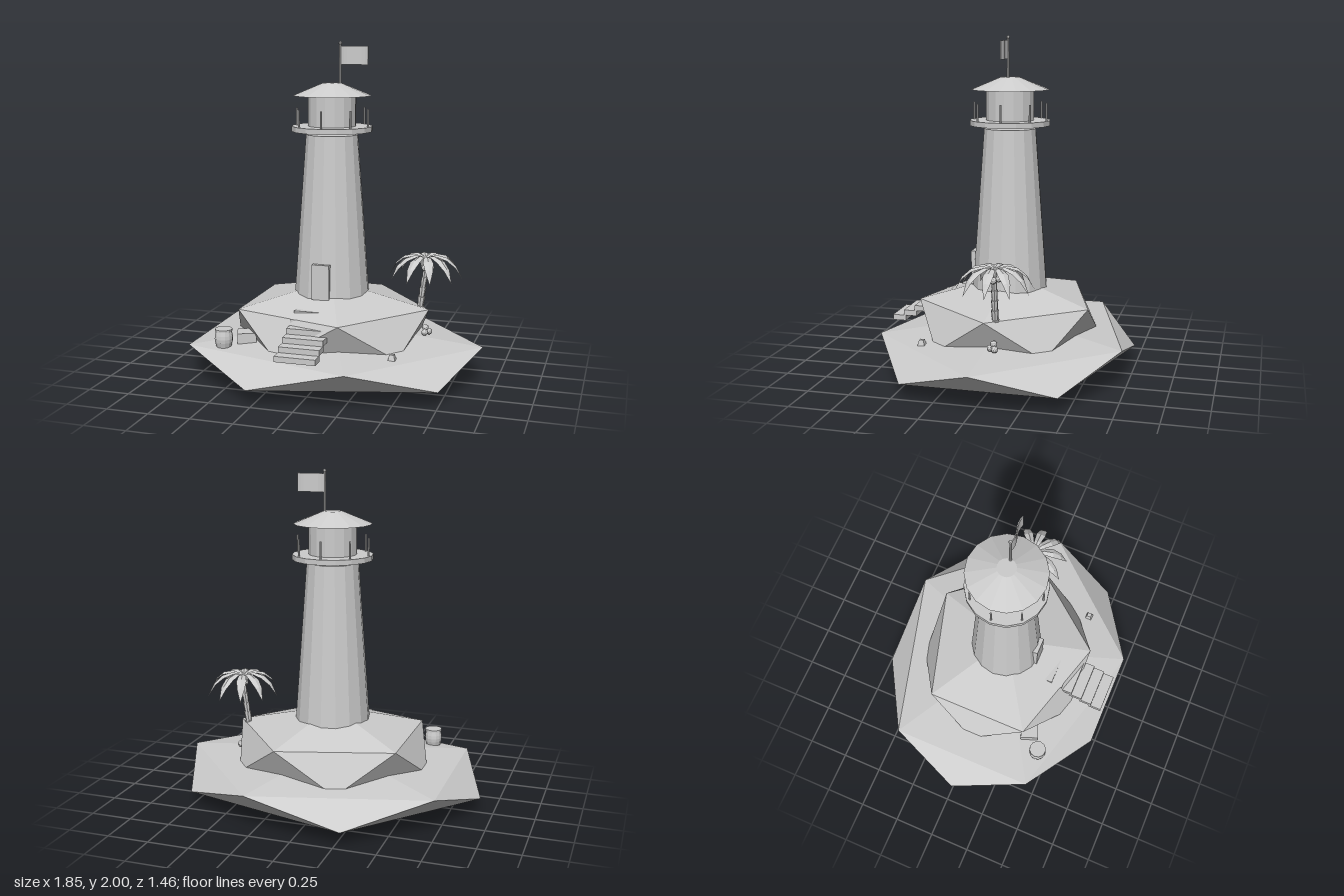
import * as THREE from 'three';
import { ConvexGeometry } from 'three/addons/geometries/ConvexGeometry.js';

const stone = new THREE.MeshStandardMaterial({ color: 0xcccccc, flatShading: true, side: THREE.DoubleSide });
stone.name = 'plain grey';

function add(parent, name, geometry, x = 0, y = 0, z = 0) {
  const mesh = new THREE.Mesh(geometry, stone);
  mesh.name = name;
  mesh.position.set(x, y, z);
  parent.add(mesh);
  return mesh;
}

// Tapered round part standing between two heights
function drum(parent, name, rTop, rBottom, y0, y1, x = 0, z = 0, sides = 16) {
  return add(parent, name, new THREE.CylinderGeometry(rTop, rBottom, y1 - y0, sides), x, (y0 + y1) / 2, z);
}

// Twenty-sided rock: two poles and two staggered rings of five corners
function rock(rx, rz, centreY, halfHeight) {
  const points = [new THREE.Vector3(0, centreY + halfHeight, 0), new THREE.Vector3(0, centreY - halfHeight, 0)];
  for (let i = 0; i < 10; i++) {
    const a = i * Math.PI / 5;
    const level = (i % 2 ? -1 : 1) * 0.447 * halfHeight;
    points.push(new THREE.Vector3(rx * Math.cos(a), centreY + level, rz * Math.sin(a)));
  }
  return new ConvexGeometry(points);
}

// Arched leaf with a raised midrib, growing along +x
function frondGeometry() {
  const rows = [[0, 0.735, 0.008], [0.07, 0.752, 0.022], [0.13, 0.738, 0.03], [0.18, 0.695, 0.022], [0.222, 0.615, 0]];
  const positions = [], index = [];
  rows.forEach(([r, y, w], i) => {
    positions.push(r, y - w * 0.4, -w, r, y, 0, r, y - w * 0.4, w);
    if (i === 0) return;
    for (let k = 0; k < 2; k++) {
      const a = (i - 1) * 3 + k, b = a + 3;
      index.push(a, a + 1, b, a + 1, b + 1, b);
    }
  });
  const g = new THREE.BufferGeometry();
  g.setAttribute('position', new THREE.Float32BufferAttribute(positions, 3));
  g.setIndex(index);
  g.computeVertexNormals();
  return g;
}

function createPalm() {
  const palm = new THREE.Group();
  palm.name = 'palmTree';
  // Trunk of stacked flared segments following a leaning curve
  const lean = new THREE.QuadraticBezierCurve3(
    new THREE.Vector3(0.53, 0.38, -0.05), new THREE.Vector3(0.55, 0.55, -0.05), new THREE.Vector3(0.575, 0.735, -0.055));
  const n = 6;
  for (let i = 0; i < n; i++) {
    const a = lean.getPoint(i / n), b = lean.getPoint((i + 1) / n);
    const r = 0.024 - 0.0015 * i;
    const mid = a.clone().add(b).multiplyScalar(0.5);
    const seg = add(palm, 'trunkSegment', new THREE.CylinderGeometry(r, r * 0.8, a.distanceTo(b), 7), mid.x, mid.y, mid.z);
    seg.quaternion.setFromUnitVectors(new THREE.Vector3(0, 1, 0), b.clone().sub(a).normalize());
  }
  const leaf = frondGeometry();
  for (let i = 0; i < 10; i++) {
    add(palm, 'frond', leaf, 0.565, 0, -0.055).rotation.y = i * Math.PI / 5;
  }
  // Coconuts under the crown and on the ground
  const nut = new THREE.IcosahedronGeometry(0.02, 1);
  for (const [x, y, z] of [[0.565, 0.675, -0.03], [0.597, 0.675, -0.055], [0.565, 0.68, -0.08],
    [0.57, 0.28, -0.03], [0.59, 0.28, -0.06], [0.57, 0.305, -0.05]]) {
    add(palm, 'coconut', nut, x, y, z);
  }
  return palm;
}

function createTower() {
  const tower = new THREE.Group();
  tower.name = 'lighthouse';
  drum(tower, 'towerBody', 0.155, 0.228, 0.46, 1.457);
  add(tower, 'door', new THREE.BoxGeometry(0.105, 0.21, 0.05), -0.003, 0.605, 0.206);
  drum(tower, 'lampBase', 0.065, 0.04, 1.462, 1.478, 0.045);
  drum(tower, 'gallery', 0.24, 0.24, 1.475, 1.506);
  drum(tower, 'lanternRoom', 0.143, 0.143, 1.505, 1.69);
  drum(tower, 'roof', 0.055, 0.232, 1.685, 1.758);
  for (let i = 0; i < 8; i++) {
    const a = i * Math.PI / 4;
    drum(tower, 'railPost', 0.006, 0.006, 1.5, 1.608, 0.22 * Math.cos(a), 0.22 * Math.sin(a), 6);
  }
  // Flagpole with ball and a rippled flag
  drum(tower, 'flagpole', 0.007, 0.008, 1.74, 1.985, 0.05, 0, 8);
  add(tower, 'flagpoleBall', new THREE.SphereGeometry(0.011, 8, 6), 0.05, 1.989, 0);
  const flag = new THREE.BoxGeometry(0.165, 0.108, 0.006, 8, 1, 1);
  const p = flag.attributes.position;
  for (let i = 0; i < p.count; i++) p.setZ(i, p.getZ(i) + 0.007 * Math.sin((p.getX(i) + 0.0825) * 38));
  add(tower, 'flag', flag, 0.135, 1.919, 0);
  return tower;
}

export function createModel() {
  const model = new THREE.Group();
  model.name = 'lighthouseIsland';
  add(model, 'lowerIsland', rock(0.925, 0.768, 0.158, 0.158));
  add(model, 'upperRock', rock(0.6, 0.54, 0.317, 0.253));
  model.add(createTower(), createPalm());

  // Steps climbing the front of the rock
  for (let i = 0; i < 6; i++) {
    add(model, 'step', new THREE.BoxGeometry(0.24, 0.033, 0.082), 0, 0.2815 + i * 0.033, 0.673 - i * 0.07);
  }

  // Barrel with a slight bulge and a raised rim
  const profile = [[0, 0.235], [0.044, 0.235], [0.052, 0.265], [0.054, 0.285], [0.052, 0.305], [0.046, 0.33], [0.052, 0.33], [0.052, 0.342], [0, 0.342]];
  add(model, 'barrel', new THREE.LatheGeometry(profile.map(([r, y]) => new THREE.Vector2(r, y)), 12), -0.53, 0, 0.44);

  // Crate tucked below the rock and a small box on the shore
  add(model, 'crate', new THREE.BoxGeometry(0.11, 0.07, 0.11), -0.424, 0.273, 0.34).rotation.y = 0.37;
  const box = drum(model, 'smallBox', 0.018, 0.03, 0.235, 0.268, 0.475, 0.405, 4);
  box.rotation.y = Math.PI / 4;
  return model;
}
